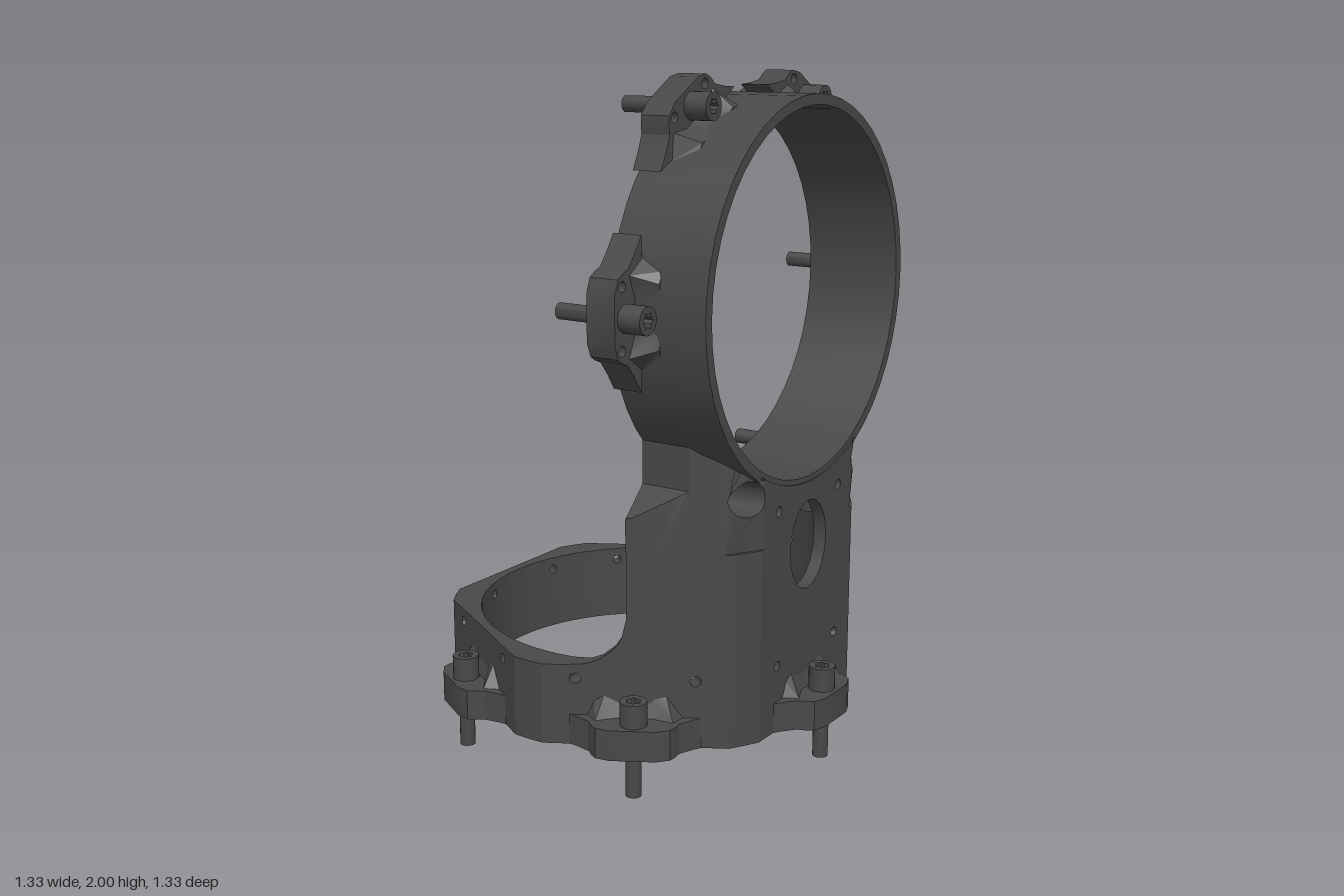
import * as THREE from 'three';
import { mergeGeometries, toCreasedNormals } from 'three/addons/utils/BufferGeometryUtils.js';

const RAD = Math.PI / 180;
const R_IN = 0.53, R_OUT = 0.56, R_CORNER = 0.62, RING_Y = 1.385, BOLT_R = 0.615;

const grey = new THREE.MeshStandardMaterial({ color: 0x484848 });
grey.name = 'dark grey plastic';

function mesh(name, geos) {
  const g = toCreasedNormals(mergeGeometries(geos.map(q => (q.index ? q.toNonIndexed() : q))), 0.45);
  const m = new THREE.Mesh(g, grey);
  m.name = name;
  return m;
}

function polygon(points, holes = []) {
  const shape = new THREE.Shape(points.map(p => new THREE.Vector2(p[0], p[1])));
  for (const [cx, cy, rx, ry] of holes) {
    const path = new THREE.Path();
    path.absellipse(cx, cy, rx, ry, 0, Math.PI * 2, true);
    shape.holes.push(path);
  }
  return shape;
}

// Extrude a shape by 1 and move each vertex by a rule
function mapped(shape, rule) {
  const g = new THREE.ExtrudeGeometry(shape, { depth: 1, bevelEnabled: false, curveSegments: 10 });
  const p = g.attributes.position;
  for (let i = 0; i < p.count; i++) p.setXYZ(i, ...rule(p.getX(i), p.getY(i), p.getZ(i)));
  return g;
}

// Outer plan outline: hexagon with corners rounded by a circle
function outerRadius(a) {
  const step = Math.PI / 3;
  const d = a - Math.round(a / step) * step;
  return Math.min(R_OUT / Math.cos(d), R_CORNER);
}
function outerX(z) {
  const q = Math.abs(z);
  return Math.min(R_OUT, Math.sqrt(R_CORNER ** 2 - q * q), (R_OUT - q * Math.sin(60 * RAD)) * 2);
}

// Piece of curved wall between two angles (degrees), optionally with a round hole
function panel(a0, a1, top0, top1, holeAngle) {
  const pts = [[a0 * RAD, 0.125], [a1 * RAD, 0.125], [a1 * RAD, top1], [a0 * RAD, top0]];
  const holes = holeAngle === undefined ? [] : [[holeAngle * RAD, 0.325, 0.026, 0.015]];
  return mapped(polygon(pts, holes), (a, y, k) => {
    const r = R_IN + (outerRadius(a) - R_IN) * k;
    return [r * Math.cos(a), y, -r * Math.sin(a)];
  });
}

// Upper edge of the tower: saddle under the ring, then a shoulder chamfer
function towerTop(z, shoulder) {
  const q = Math.abs(z);
  return shoulder ? 0.88 - (q - 0.41) : RING_Y - Math.sqrt(0.545 ** 2 - q * q);
}

// Upright slab of the tower between two z positions
function strip(z0, z1, y0, xBack, xFront, holes = [], shoulder = false) {
  const pts = [[z0, y0], [z1, y0]];
  for (let i = 0; i <= 6; i++) {
    const z = z1 + (z0 - z1) * i / 6;
    pts.push([z, towerTop(z, shoulder)]);
  }
  return mapped(polygon(pts, holes), (s, y, k) => {
    const front = Math.min(xFront, Math.max(outerX(s), xBack + 0.005));
    return [xBack + (front - xBack) * k, y, -s];
  });
}

// Mounting lug, lying flat with its bolt hole at BOLT_R on +x
function lugGeometry(pinHoles) {
  const half = [[0.545, 0.21], [0.575, 0.165], [0.605, 0.128], [0.63, 0.118], [0.65, 0.105], [0.665, 0.065]];
  const pts = [...half.map(([r, t]) => [r, -t]), ...half.reverse()];
  const holes = [];
  if (pinHoles) for (const s of [-1, 1]) holes.push([0.632, s * 0.085, 0.015, 0.015]);
  const flat = mapped(polygon([[0.535, 0], ...pts], holes), (x, y, k) => [x, 0.125 + 0.09 * k, -y]);
  // sloping web that fades the lug into the wall
  const web = mapped(polygon([[0.54, -0.15], [0.6, -0.11], [0.575, -0.05], [0.575, 0.05], [0.6, 0.11], [0.54, 0.15]]),
    (x, y, k) => [x - (x - 0.54) * 0.7 * k, 0.215 + 0.065 * k, -y * (1 - 0.2 * k)]);
  return [flat, web];
}

// Socket-head bolt standing at BOLT_R on +x
function boltGeometry() {
  const at = (g, y) => g.translate(BOLT_R, y, 0);
  const rim = new THREE.Shape().absarc(0, 0, 0.039, 0, Math.PI * 2);
  const socket = new THREE.Path();
  for (let i = 0; i < 12; i++) {
    const r = i % 2 ? 0.017 : 0.024, a = -i * 30 * RAD;
    if (i) socket.lineTo(r * Math.cos(a), r * Math.sin(a));
    else socket.moveTo(r, 0);
  }
  rim.holes.push(socket);
  const cap = new THREE.ExtrudeGeometry(rim, { depth: 0.03, bevelEnabled: false, curveSegments: 12 });
  return [
    at(new THREE.CylinderGeometry(0.023, 0.023, 0.22, 16), 0.11),
    at(new THREE.CylinderGeometry(0.039, 0.039, 0.042, 24), 0.234),
    at(cap.rotateX(-Math.PI / 2), 0.255),
  ];
}

function place(group, name, geos, angle) {
  const m = mesh(name, geos);
  m.rotation.y = -angle * RAD;
  group.add(m);
}

export function createModel() {
  const model = new THREE.Group();
  model.name = 'angledRingBracket';

  // Base ring: low wall with a fillet rising to the tower
  const rise = a => {
    const u = Math.max(0, 78 - a) / 15.5 * 0.14;
    return 0.505 - Math.sqrt(Math.max(0, 0.0196 - u * u));
  };
  const baseEdges = [62.5, 64, 66, 70, 74, 80, 85.4, 90, 94.6, 100, 106, 113, 120, 127, 134, 140,
    145.4, 150, 154.6, 160, 166, 173, 180];
  const towerEdges = [14, 20, 25.4, 30, 34.6, 40, 46, 52, 58, 62.5];
  const holeAngles = [17, 43, 77, 103, 137, 163];
  const wallPieces = (edges, top) => {
    const out = [];
    for (const s of [1, -1]) for (let i = 0; i + 1 < edges.length; i++) {
      const a = edges[i], b = edges[i + 1];
      const h = holeAngles.find(q => q > a && q < b);
      const hole = h === undefined ? undefined : s * h;
      out.push(s > 0 ? panel(a, b, top(a, a), top(b, a), hole) : panel(-b, -a, top(b, a), top(a, a), hole));
    }
    return out;
  };
  model.add(mesh('baseRing', wallPieces(baseEdges, rise)));

  // Tower: curved wall carrying on up from the base, with an oval cable opening
  const wall = wallPieces(towerEdges, (a, start) => (start >= 58 ? 0.8 : 0.7));
  wall.push(strip(-0.14, 0.14, 0.125, 0.52, R_OUT, [[0, 0.65, 0.105, 0.135]]));
  model.add(mesh('towerWall', wall));

  // Saddle block between tower and upright ring, with bolt pockets
  const saddle = [strip(-0.14, 0.14, 0.7, 0.255, 0.4)];
  for (const s of [1, -1]) {
    const add = (a, b, ...rest) => saddle.push(strip(s > 0 ? a : -b, s > 0 ? b : -a, 0.7, ...rest));
    add(0.14, 0.25, 0.255, 0.345);
    add(0.14, 0.25, 0.345, 1, [[s * 0.175, 0.79, 0.016, 0.016]]);
    add(0.25, 0.36, 0.255, 0.345, [[s * 0.306, 0.853, 0.025, 0.025]]);
    add(0.25, 0.36, 0.345, 1, [[s * 0.306, 0.853, 0.051, 0.051]]);
    add(0.36, 0.41, 0.255, 1);
    add(0.41, 0.45, 0.255, 1, [], true);
    add(0.45, 0.495, 0.255, 1, [], true);
  }
  model.add(mesh('saddleBlock', saddle));

  // Small guide under the saddle
  model.add(mesh('cableGuide', [-1, 1].map(s => new THREE.BoxGeometry(0.06, 0.09, 0.04).translate(0.3, 0.66, s * 0.085))));

  // Base lugs and bolts
  for (let i = 0; i < 6; i++) {
    place(model, 'baseLug', lugGeometry(false), i * 60);
    place(model, 'baseBolt', boltGeometry(), i * 60);
  }

  // Upright ring, built lying flat and tipped over so its axis runs along x
  const upright = new THREE.Group();
  upright.name = 'uprightRing';
  const profile = [[R_IN, 0.125], [R_OUT, 0.125], [R_OUT, 0.425], [R_IN, 0.425], [R_IN, 0.125]];
  upright.add(mesh('ringBand', [new THREE.LatheGeometry(profile.map(p => new THREE.Vector2(...p)), 48)]));
  for (const a of [-30, 30, 90, 150, 210, 270]) {
    if (Math.abs(a) !== 30) place(upright, 'ringLug', lugGeometry(true), a);
    if (a !== 30) place(upright, 'ringBolt', boltGeometry(), a);
  }
  upright.rotation.z = -Math.PI / 2;
  upright.position.set(0.13, RING_Y, 0);
  model.add(upright);

  return model;
}
